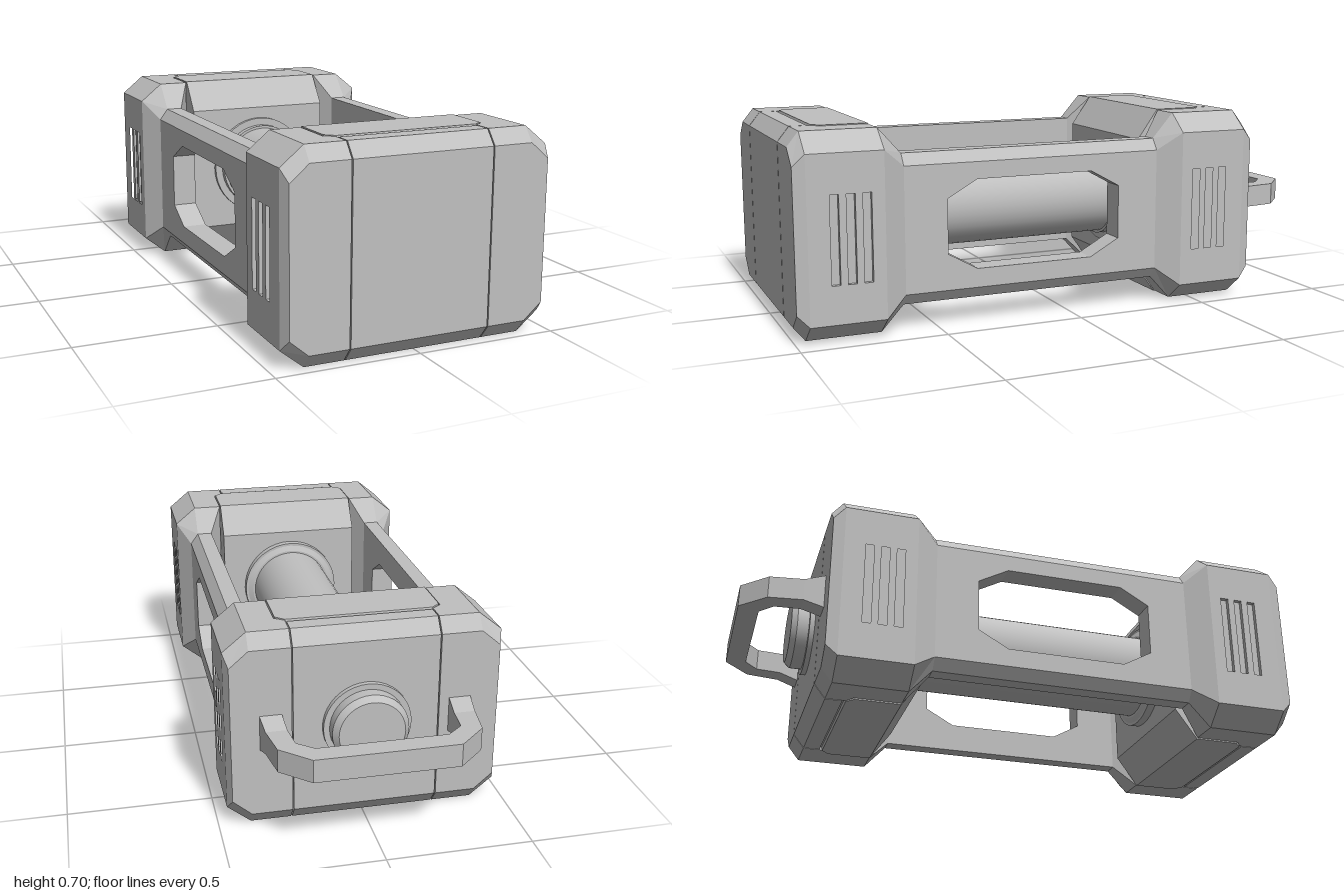
import * as THREE from 'three';

const grey = new THREE.MeshStandardMaterial({ color: 0xc0c0c0 });
grey.name = 'plain grey';
const MID = 0.14; // z about which front and back ends mirror
const flip = (z) => 2 * MID - z;

// Flat-shaded skin over matching convex cross-sections, capped at both ends
function loft(sections, skipQuad = () => false) {
  const tris = [];
  const n = sections[0].length;
  for (let s = 0; s < sections.length - 1; s++) {
    for (let i = 0; i < n; i++) {
      if (skipQuad(s, i)) continue;
      const j = (i + 1) % n;
      const [a, b, c, d] = [sections[s][i], sections[s][j], sections[s + 1][j], sections[s + 1][i]];
      tris.push([a, b, c], [a, c, d]);
    }
  }
  const first = sections[0], last = sections[sections.length - 1];
  for (let i = 1; i < n - 1; i++) {
    tris.push([first[0], first[i + 1], first[i]], [last[0], last[i], last[i + 1]]);
  }
  // Turn all faces outward whichever way the sections run
  const mid = new THREE.Vector3();
  sections.flat().forEach((p) => mid.add(new THREE.Vector3(...p)));
  mid.divideScalar(sections.length * n);
  let volume = 0;
  for (const t of tris) {
    const [a, b, c] = t.map((p) => new THREE.Vector3(...p).sub(mid));
    volume += a.dot(b.cross(c));
  }
  const pos = tris.flatMap((t) => (volume < 0 ? [t[0], t[2], t[1]] : t)).flat();
  const g = new THREE.BufferGeometry();
  g.setAttribute('position', new THREE.Float32BufferAttribute(pos, 3));
  g.computeVertexNormals();
  return g;
}

// Upright plate in the z-y plane between two x values, with holes
function plate(outline, holes, x0, x1) {
  const v = (pts) => pts.map((p) => new THREE.Vector2(...p));
  const shape = new THREE.Shape(v(outline));
  holes.forEach((h) => shape.holes.push(new THREE.Path(v(h))));
  const g = new THREE.ExtrudeGeometry(shape, { depth: x1 - x0, bevelEnabled: false });
  return g.rotateY(-Math.PI / 2).translate(x1, 0, 0);
}

const rect = (z0, z1, y0, y1) => [[z0, y0], [z1, y0], [z1, y1], [z0, y1]];

export function createModel() {
  const model = new THREE.Group();
  model.name = 'canister';
  const add = (name, geometry, parent = model) => {
    const mesh = new THREE.Mesh(geometry, grey);
    mesh.name = name;
    parent.add(mesh);
    return mesh;
  };

  // Corner shells: z, inner x, outer x, bottom, top, chamfer height
  const shellStations = [
    [1.0, 0.251, 0.455, 0.053, 0.65, 0.056],
    [0.96, 0.251, 0.47, 0.003, 0.70, 0.065],
    [0.70, 0.284, 0.47, 0.003, 0.70, 0.065],
    [0.62, 0.333, 0.42, 0.09, 0.61, 0.04],
  ];
  shellStations.splice(2, 0, [0.89, 0.251, 0.47, 0.003, 0.70, 0.065], [0.865, 0.284, 0.47, 0.003, 0.70, 0.065]);
  const shellSection = ([z, xi, xo, y0, y1, h], side, zMap) =>
    [[xi, y0], [0.39, y0], [xo, y0 + h], [xo, y1 - h], [0.39, y1], [xi, y1]]
      .map(([x, y]) => [side * x, y, zMap(z)]);

  // Centre blocks: z, half width, bottom, top
  const blockStations = [
    [1.0, 0.247, 0.053, 0.65], [0.96, 0.247, 0.003, 0.70], [0.90, 0.247, 0.003, 0.70],
    [0.897, 0.247, 0.013, 0.69], [0.892, 0.247, 0.013, 0.69], [0.889, 0.25, 0, 0.703],
    [0.862, 0.28, 0, 0.703], [0.70, 0.28, 0, 0.703], [0.62, 0.28, 0.11, 0.593],
  ];

  for (const [end, zMap] of [['front', (z) => z], ['back', flip]]) {
    add(end + 'CentreBlock', loft(blockStations.map(([z, w, y0, y1]) =>
      [[-w, y0, zMap(z)], [w, y0, zMap(z)], [w, y1, zMap(z)], [-w, y1, zMap(z)]])));

    for (const side of [1, -1]) {
      const group = new THREE.Group();
      group.name = end + (side > 0 ? 'Left' : 'Right') + 'Shell';
      model.add(group);
      // Outer side wall is left out here and filled by the vented plate
      add('cornerShell', loft(shellStations.map((s) => shellSection(s, side, zMap)),
        (s, i) => i === 2 && s >= 1 && s <= 3), group);
      const slots = [0.745, 0.80, 0.855].map((z) => rect(zMap(z), zMap(z + 0.03), 0.2, 0.5));
      const xs = (a, b) => (side > 0 ? [a, b] : [-b, -a]);
      const wall = rect(zMap(0.70), zMap(0.96), 0.068, 0.635);
      add('ventedWall', plate(wall, slots, ...xs(0.455, 0.47)), group);
      add('ventFloor', plate(rect(zMap(0.73), zMap(0.90), 0.18, 0.52), [], ...xs(0.445, 0.455)), group);
    }
  }

  // Side rails with an eight-cornered window and chamfered outer edges
  const z0 = flip(0.62), z1 = 0.62;
  const windowHole = [[0.36, 0.51], [-0.075, 0.51], [-0.185, 0.45], [-0.185, 0.257],
    [-0.075, 0.197], [0.36, 0.197], [0.467, 0.257], [0.467, 0.45]];
  for (const side of [1, -1]) {
    const group = new THREE.Group();
    group.name = side > 0 ? 'leftRail' : 'rightRail';
    model.add(group);
    const xs = side > 0 ? [0.333, 0.42] : [-0.42, -0.333];
    add('windowPanel', plate(rect(z0, z1, 0.13, 0.57), [windowHole], ...xs), group);
    for (const [name, inner, outer] of [['topEdge', 0.57, 0.61], ['bottomEdge', 0.13, 0.09]]) {
      add(name, loft([z0, z1].map((z) =>
        [[0.333, inner], [0.42, inner], [0.39, outer], [0.333, outer]].map(([x, y]) => [side * x, y, z]))), group);
    }
  }

  // Round parts along z: name, z start, z end, radius at start, radius at end
  const rounds = [
    ['coreTube', -0.34, 0.62, 0.157, 0.157],
    ['frontCollar', 0.59, 0.625, 0.195, 0.195],
    ['frontCollarStep', 0.58, 0.59, 0.165, 0.185],
    ['backCollar', -0.345, -0.325, 0.195, 0.195],
    ['backCollarStep', -0.325, -0.30, 0.167, 0.167],
    ['knobBase', -0.738, -0.715, 0.15, 0.15],
    ['knobBody', -0.78, -0.738, 0.13, 0.13],
    ['knobRim', -0.80, -0.78, 0.112, 0.13],
  ];
  for (const [name, a, b, ra, rb] of rounds) {
    const g = new THREE.CylinderGeometry(rb, ra, b - a, 40);
    add(name, g.rotateX(Math.PI / 2).translate(0, 0.355, (a + b) / 2));
  }

  // Back handle: outer x, outer z, inner x, inner z, half height
  const half = [
    [0.36, -0.71, 0.285, -0.71, 0.065], [0.352, -0.79, 0.28, -0.79, 0.04],
    [0.335, -0.91, 0.272, -0.88, 0.04], [0.24, -1.0, 0.218, -0.927, 0.04],
  ];
  const grip = [...half, ...half.map(([a, b, c, d, h]) => [-a, b, -c, d, h]).reverse()];
  add('backHandle', loft(grip.map(([xo, zo, xi, zi, h]) =>
    [[xo, 0.355 - h, zo], [xo, 0.355 + h, zo], [xi, 0.355 + h, zi], [xi, 0.355 - h, zi]])));

  return model;
}
